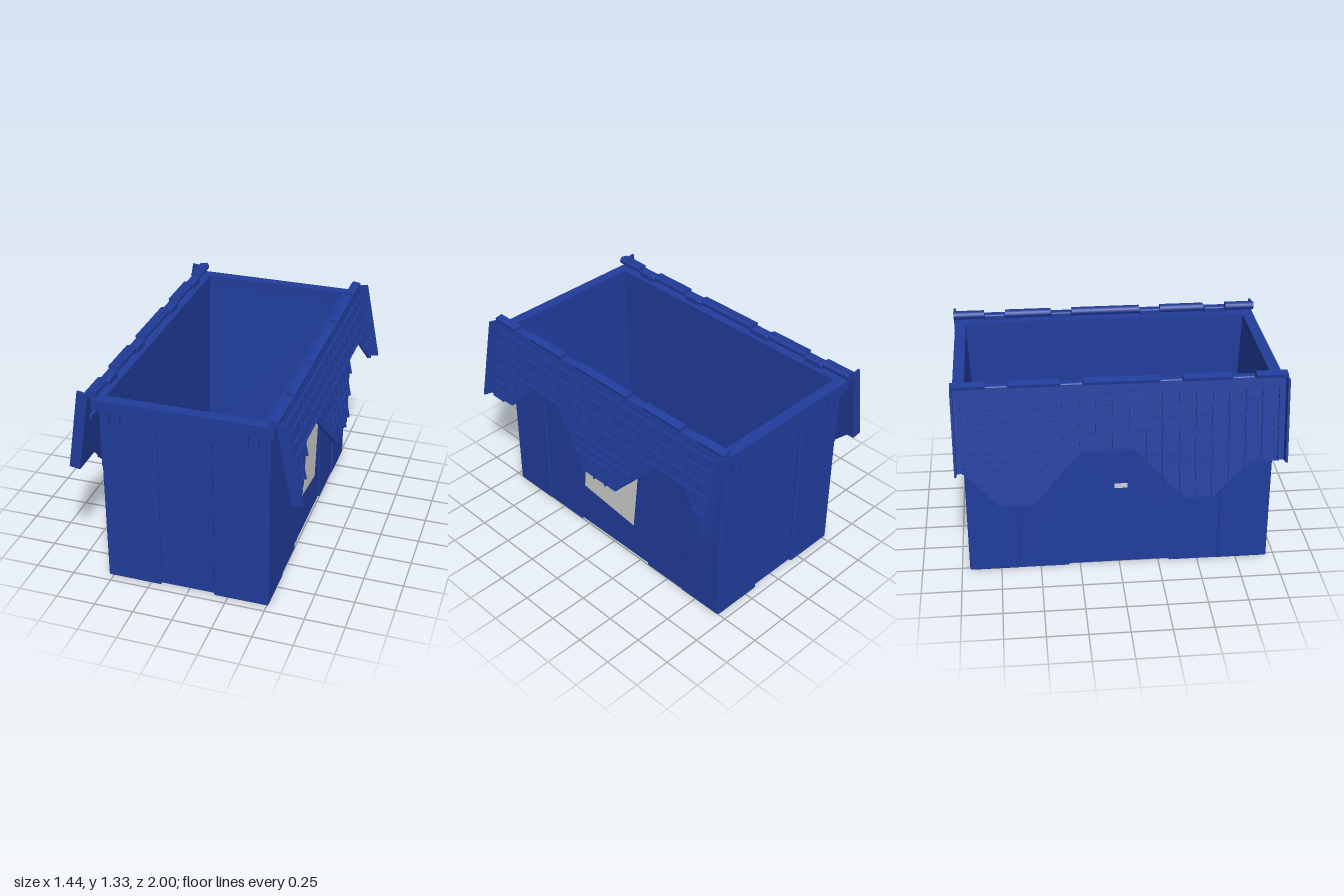
import * as THREE from 'three';
import { RoundedBoxGeometry } from 'three/addons/geometries/RoundedBoxGeometry.js';

const blue = new THREE.MeshStandardMaterial({ color: 0x213d9c });
blue.name = 'bluePlastic';
const grey = new THREE.MeshStandardMaterial({ color: 0xcfd1cf });
grey.name = 'labelGrey';

function add(parent, name, geometry, material = blue) {
  const mesh = new THREE.Mesh(geometry, material);
  mesh.name = name;
  parent.add(mesh);
  return mesh;
}

// Box given by its minimum and maximum corners; optional rounded edges
function box(parent, name, x0, x1, y0, y1, z0, z1, radius = 0) {
  const w = x1 - x0, h = y1 - y0, d = z1 - z0;
  const geometry = radius ? new RoundedBoxGeometry(w, h, d, 2, radius) : new THREE.BoxGeometry(w, h, d);
  geometry.translate((x0 + x1) / 2, (y0 + y1) / 2, (z0 + z1) / 2);
  return add(parent, name, geometry);
}

// Outline of [z, y] points, thickened along x from x0 to x0 + depth
function sidePlate(points, x0, depth) {
  const shape = new THREE.Shape(points.map(([z, y]) => new THREE.Vector2(z, y)));
  return new THREE.ExtrudeGeometry(shape, { depth, bevelEnabled: false })
    .rotateY(-Math.PI / 2).translate(x0 + depth, 0, 0);
}

// Upright rectangular ring with an open middle
function ring(ox, oz, ix, iz, y0, y1) {
  const rect = (path, a, b) => path.moveTo(-a, -b).lineTo(a, -b).lineTo(a, b).lineTo(-a, b).closePath();
  const shape = rect(new THREE.Shape(), ox, oz);
  shape.holes.push(rect(new THREE.Path(), ix, iz));
  return new THREE.ExtrudeGeometry(shape, { depth: y1 - y0, bevelEnabled: false })
    .rotateX(-Math.PI / 2).translate(0, y0, 0);
}

function buildBody() {
  const body = new THREE.Group();
  body.name = 'body';
  body.position.x = -0.01;
  add(body, 'walls', ring(0.5, 0.93, 0.48, 0.92, 0.005, 1.2));
  add(body, 'rim', ring(0.55, 0.99, 0.48, 0.92, 1.2, 1.27));
  box(body, 'floor', -0.5, 0.5, 0.005, 0.035, -0.93, 0.93);

  for (const s of [-1, 1]) {
    // Inner end wall leaning inwards towards the floor
    const wedge = [[0.925, 1.2], [0.925, 0.03], [0.87, 0.03], [0.92, 1.2]].map(([z, y]) => [s * z, y]);
    add(body, 'innerEndWall', sidePlate(wedge, -0.48, 0.96));
    // Smooth band along the top of the side
    box(body, 'sideBand', Math.min(s * 0.49, s * 0.52), Math.max(s * 0.49, s * 0.52), 0.8, 1.2, -0.95, 0.95);
    // Lip block above the recessed end panel
    const e0 = s * 0.92, e1 = s * 0.965;
    box(body, 'endLip', -0.2, 0.2, 1.1, 1.2, Math.min(e0, e1), Math.max(e0, e1));

    for (const t of [-1, 1]) {
      // Raised corner panels on sides (s) and ends (t)
      const x0 = s * 0.488, x1 = s * 0.52, z0 = t * 0.63, z1 = t * 0.95;
      box(body, 'sideCornerPanel', Math.min(x0, x1), Math.max(x0, x1), 0, 0.81,
        Math.min(z0, z1), Math.max(z0, z1), 0.012);
      const a0 = s * 0.17, a1 = s * 0.52, b0 = t * 0.924, b1 = t * 0.95;
      box(body, 'endCornerPanel', Math.min(a0, a1), Math.max(a0, a1), 0, 1.2,
        Math.min(b0, b1), Math.max(b0, b1), 0.012);
      // Middle side panels with a slanted inner edge
      const trap = [[0.32, 0], [0.64, 0], [0.64, 0.805], [0.26, 0.805]].map(([z, y]) => [t * z, y]);
      add(body, 'sideMiddlePanel', sidePlate(trap, s > 0 ? 0.495 : -0.51, 0.015));
      // Stiffening ribs below the rim
      for (const x of [0.39, 0.453]) {
        const r0 = t * 0.94, r1 = t * 0.98;
        box(body, 'rimRib', s * x - 0.005, s * x + 0.005, 1.1, 1.2, Math.min(r0, r1), Math.max(r0, r1));
      }
    }
  }
  return body;
}

// Lid outlines: [z, length from the hinge], front to back
const rightEdge = [[1, 0.525], [0.78, 0.525], [0.56, 0.3], [0.38, 0.3], [0.06, 0.64], [-0.23, 0.64],
  [-0.54, 0.3], [-0.74, 0.3], [-0.95, 0.525], [-1, 0.525]];
const leftEdge = rightEdge.map(([z, l]) => [z, 1.045 - l + (l === 0.525 ? 0.005 : 0)]);

function lidLength(edge, z) {
  for (let i = 0; i < edge.length - 1; i++) {
    const [za, la] = edge[i], [zb, lb] = edge[i + 1];
    if (z <= za && z >= zb) return la + (lb - la) * (za - z) / (za - zb);
  }
  return 0;
}

function buildLid(name, side, x, tilt, edge) {
  const lid = new THREE.Group();
  lid.name = name;
  lid.position.set(x, 1.303, 0);
  lid.rotation.z = side * tilt;
  const out = (n, a, b, y0, y1, z0, z1) =>
    box(lid, n, Math.min(side * a, side * b), Math.max(side * a, side * b), y0, y1, z0, z1);

  const outline = [[-1, 0], [1, 0], ...edge.map(([z, l]) => [z, -l])];
  add(lid, 'lidPanel', sidePlate(outline, side > 0 ? 0 : -0.01, 0.01));

  // Grid of ribs, cut off at the lid's edge
  const step = 0.1, rows = [0.055, 0.135, 0.22, 0.3, 0.41, 0.465, 0.52];
  for (let i = 0; i <= 19; i++) {
    const z = -0.95 + i * step, length = lidLength(edge, z);
    out('lidRib', 0.008, 0.026, -length, -0.055, z - 0.004, z + 0.004);
    if (i === 19) continue;
    const reach = Math.min(length, lidLength(edge, z + step));
    for (const r of rows) {
      if (r <= reach + 0.01) out('lidCrossRib', 0.008, 0.026, -r - 0.004, -r + 0.004, z, z + step);
    }
  }
  // Deep end plates and small catches facing the body
  for (const s of [-1, 1]) {
    out('lidEndPlate', 0, 0.068, -0.525, 0, s * 0.993 - 0.007, s * 0.993 + 0.007);
    out('lidCatch', -0.018, 0.002, -0.215, -0.17, s * 0.9 - 0.03, s * 0.9 + 0.03);
  }
  return lid;
}

function buildHinge(name, side, x) {
  const hinge = new THREE.Group();
  hinge.name = name;
  hinge.position.x = x;
  // Lid knuckles
  for (const [z0, z1] of [[-1, -0.8], [-0.66, -0.36], [-0.22, 0.23], [0.37, 0.66], [0.81, 1]]) {
    const rod = new THREE.CylinderGeometry(0.024, 0.024, z1 - z0, 16).rotateX(Math.PI / 2);
    add(hinge, 'lidKnuckle', rod).position.set(0, 1.303, (z0 + z1) / 2);
    const leaf = add(hinge, 'hingeLeaf', new THREE.BoxGeometry(0.05, 0.032, z1 - z0));
    leaf.position.set(side * 0.012, 1.309, (z0 + z1) / 2);
    leaf.rotation.z = -side * 0.2;
  }
  // Knuckles fixed to the rim
  for (const z of [-0.73, -0.29, 0.3, 0.735]) {
    box(hinge, 'rimKnuckle', -0.025, 0.028, 1.26, 1.31, z - 0.07, z + 0.07, 0.01);
  }
  return hinge;
}

export function createModel() {
  const model = new THREE.Group();
  model.name = 'storageCrate';
  model.add(buildBody());
  model.add(buildLid('leftLid', 1, 0.552, 0.195, rightEdge));
  model.add(buildLid('rightLid', -1, -0.572, 0.154, leftEdge));
  model.add(buildHinge('leftHinge', 1, 0.527));
  model.add(buildHinge('rightHinge', -1, -0.547));
  // Paper label on one side and a scrap of one on the other
  add(model, 'label', sidePlate([[0.28, 0.31], [0.24, 0.765], [-0.23, 0.71], [-0.18, 0.25]], 0.489, 0.006), grey);
  add(model, 'labelScrap', sidePlate([[0.05, 0.55], [0.05, 0.58], [-0.03, 0.58], [-0.03, 0.55]], -0.515, 0.006), grey);
  return model;
}
